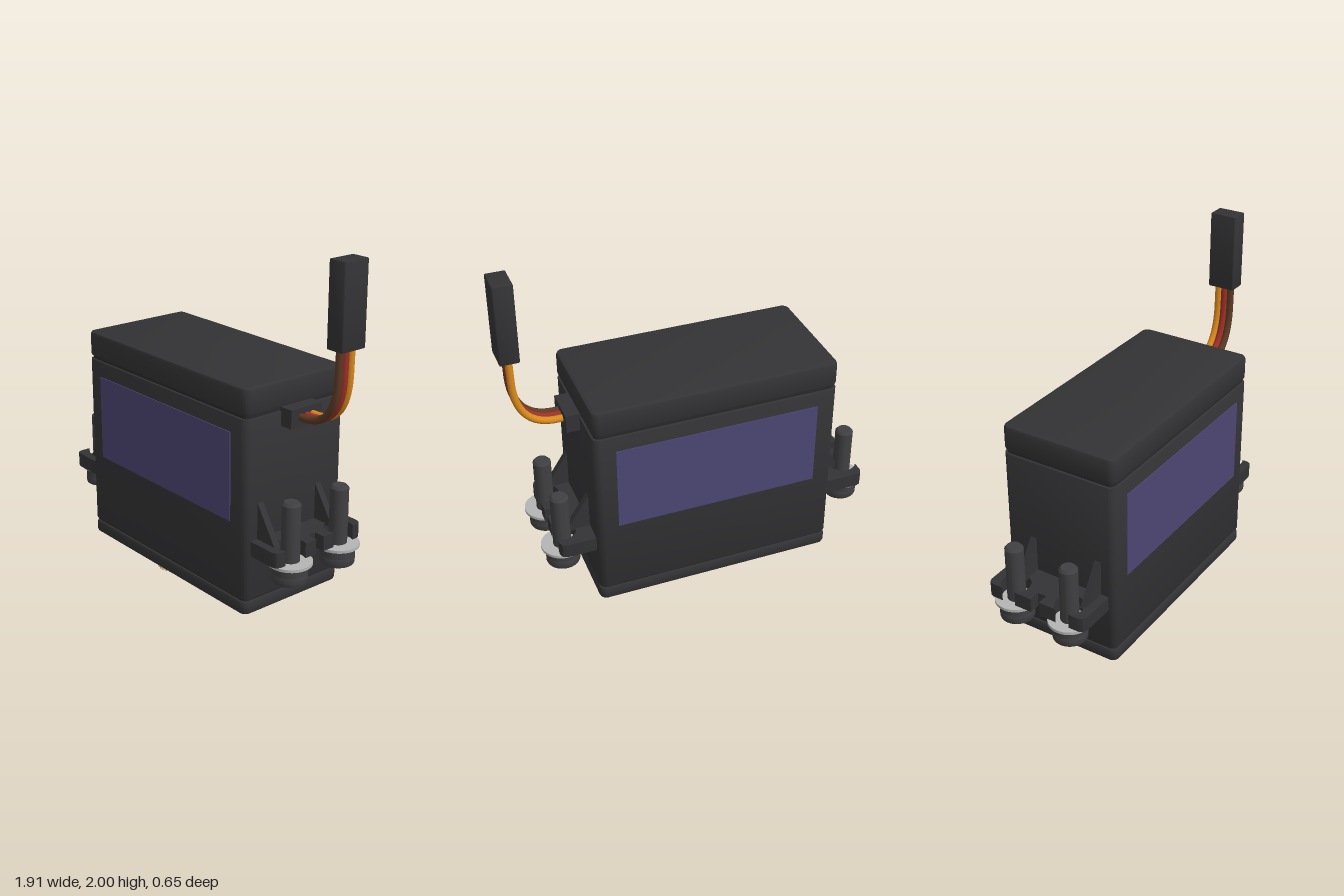
import * as THREE from 'three';
import { toCreasedNormals } from 'three/addons/utils/BufferGeometryUtils.js';

const mat = (color) => new THREE.MeshStandardMaterial({ color });
const M = {
  body: mat(0x333335), dark: mat(0x29292b), label: mat(0x4c4673), screw: mat(0x404042),
  washer: mat(0xb4b4b4), brass: mat(0xc8b080),
  brown: mat(0x5c3a24), red: mat(0x9c3028), orange: mat(0xd98a1c),
};

function add(parent, name, geo, material, x = 0, y = 0, z = 0) {
  const mesh = new THREE.Mesh(geo, material);
  mesh.name = name;
  mesh.position.set(x, y, z);
  parent.add(mesh);
  return mesh;
}

// Plan outline extruded upwards from y0 to y1, with an optional bevelled rim.
function slab(shape, y0, y1, bevel = 0) {
  const geo = new THREE.ExtrudeGeometry(shape, {
    depth: y1 - y0 - 2 * bevel, bevelEnabled: bevel > 0, bevelSize: bevel,
    bevelThickness: bevel, bevelOffset: -bevel, bevelSegments: 2, curveSegments: 8,
  });
  geo.rotateX(-Math.PI / 2).translate(0, y0 + bevel, 0);
  return toCreasedNormals(geo, 0.6);
}

function roundRect(x0, x1, hz, r) {
  const s = new THREE.Shape();
  s.absarc(x1 - r, hz - r, r, 0, Math.PI / 2);
  s.absarc(x0 + r, hz - r, r, Math.PI / 2, Math.PI);
  s.absarc(x0 + r, -hz + r, r, Math.PI, 1.5 * Math.PI);
  s.absarc(x1 - r, -hz + r, r, 1.5 * Math.PI, 2 * Math.PI);
  return s;
}

function circlePoints(n, radius) {
  return Array.from({ length: n }, (_, i) => {
    const a = (i / n) * Math.PI * 2;
    return new THREE.Vector2(Math.cos(a) * radius(i), Math.sin(a) * radius(i));
  });
}

function lathe(points, segments = 40) {
  const geo = new THREE.LatheGeometry(points.map((p) => new THREE.Vector2(...p)), segments);
  return toCreasedNormals(geo, 0.5);
}

// Mounting lug outline: two open screw holes and a centre slot on the outer edge.
function lugShape(side, wall, edge, cx) {
  const pts = [], hole = 0.075, hz = 0.285, c = 0.03;
  const put = (u, v) => pts.push(new THREE.Vector2(side * u, v));
  const arc = (v) => {
    const open = Math.acos((edge - cx) / hole);
    for (let i = 0; i <= 24; i++) {
      const a = -open - (i / 24) * (2 * Math.PI - 2 * open);
      put(cx + hole * Math.cos(a), v + hole * Math.sin(a));
    }
  };
  put(wall, -hz); put(edge - c, -hz); put(edge - 0.009, -hz + 0.009); put(edge, -hz + c);
  arc(-0.16);
  put(edge, -0.025); put(edge - 0.06, -0.025); put(edge - 0.06, 0.025); put(edge, 0.025);
  arc(0.16);
  put(edge, hz - c); put(edge - 0.009, hz - 0.009); put(edge - c, hz); put(wall, hz);
  return new THREE.Shape(pts);
}

function makeScrew() {
  const g = new THREE.Group();
  // Shaft and upper head
  add(g, 'screwShaft', lathe([[0.088, 0.46], [0.088, 0.507], [0.047, 0.507], [0.047, 0.812],
    [0.036, 0.825], [0, 0.825]]), M.screw);
  // Lower head with hexagonal socket
  const head = new THREE.Shape(circlePoints(40, () => 0.088));
  head.holes.push(new THREE.Path(circlePoints(6, () => 0.042)));
  add(g, 'screwHead', slab(head, 0.41, 0.47, 0.01), M.screw);
  add(g, 'socketFloor', new THREE.CylinderGeometry(0.07, 0.07, 0.01, 24), M.dark, 0, 0.46, 0);
  add(g, 'washer', lathe([[0.045, 0.505], [0.11, 0.505], [0.11, 0.52], [0.045, 0.52]]), M.washer);
  return g;
}

export function createModel() {
  const model = new THREE.Group();
  model.name = 'servo';

  // Case in three layers around a slightly inset core, leaving seam grooves
  const X0 = -0.7, X1 = 0.595;
  const outline = roundRect(X0, X1, 0.32, 0.04);
  add(model, 'caseCore', slab(roundRect(X0 + 0.012, X1 - 0.012, 0.308, 0.03), 0.25, 1.3), M.dark);
  add(model, 'caseBottom', slab(outline, 0.2, 0.274, 0.018), M.body);
  add(model, 'caseMiddle', slab(outline, 0.286, 1.224, 0.004), M.body);
  add(model, 'caseTop', slab(outline, 1.236, 1.375, 0.018), M.body);

  // Side labels
  for (const s of [1, -1]) {
    add(model, 'label', new THREE.BoxGeometry(1.075, 0.46, 0.006), M.label, -0.053, 0.91, s * 0.322);
  }

  // Mounting lugs, gussets and screws at both ends
  const ends = [
    { side: 1, wall: X1, edge: 0.78, cx: 0.743 },
    { side: -1, wall: -X0, edge: 0.915, cx: 0.85 },
  ];
  for (const { side, wall, edge, cx } of ends) {
    const end = new THREE.Group();
    end.name = side > 0 ? 'leftMount' : 'rightMount';
    add(end, 'mountingLug', slab(lugShape(side, wall - 0.01, edge, cx), 0.522, 0.6), M.body);
    const rib = new THREE.Shape([[wall - 0.01, 0.59], [wall + 0.13, 0.59], [wall, 0.79], [wall - 0.01, 0.79]]
      .map(([u, y]) => new THREE.Vector2(side * u, y)));
    for (const z of [0.225, -0.155]) {
      add(end, 'gusset', new THREE.ExtrudeGeometry(rib, { depth: 0.035, bevelEnabled: false }),
        M.body, 0, 0, z - 0.0175);
    }
    for (const z of [0.16, -0.16]) {
      const screw = makeScrew();
      screw.name = 'screw';
      screw.position.set(side * cx, 0, z);
      end.add(screw);
    }
    model.add(end);
  }

  // Output boss, collar and toothed shaft with a screw bore
  const output = new THREE.Group();
  output.name = 'output';
  output.position.x = -0.38;
  add(output, 'boss', lathe([[0, 0.155], [0.195, 0.155], [0.208, 0.168], [0.208, 0.21]], 48), M.body);
  add(output, 'collar', lathe([[0, 0.13], [0.14, 0.13], [0.14, 0.156]], 48), M.brass);
  const spline = new THREE.Shape(circlePoints(100, (i) => (i % 4 < 2 ? 0.095 : 0.083)));
  spline.holes.push(new THREE.Path(circlePoints(24, () => 0.04)));
  add(output, 'splineShaft', slab(spline, 0, 0.135), M.brass);
  model.add(output);

  // Cable: strain relief, three wires and plug
  add(model, 'strainRelief', new THREE.BoxGeometry(0.08, 0.095, 0.2), M.body, 0.625, 1.198, 0);
  const wires = [['brownWire', M.brown, 0.037], ['redWire', M.red, 0], ['orangeWire', M.orange, -0.037]];
  for (const [name, material, z] of wires) {
    const v = (x, y) => new THREE.Vector3(x, y, z);
    const path = new THREE.CurvePath();
    path.add(new THREE.LineCurve3(v(0.65, 1.2), v(0.69, 1.2)));
    path.add(new THREE.CubicBezierCurve3(v(0.69, 1.2), v(0.84, 1.2), v(0.9, 1.31), v(0.902, 1.47)));
    path.add(new THREE.LineCurve3(v(0.902, 1.47), v(0.905, 1.6)));
    add(model, name, new THREE.TubeGeometry(path, 40, 0.0185, 12), material);
  }
  const plug = slab(roundRect(-0.05, 0.05, 0.075, 0.008), 1.585, 2, 0.006);
  add(model, 'plug', plug, M.body, 0.905, 0, 0);

  return model;
}
